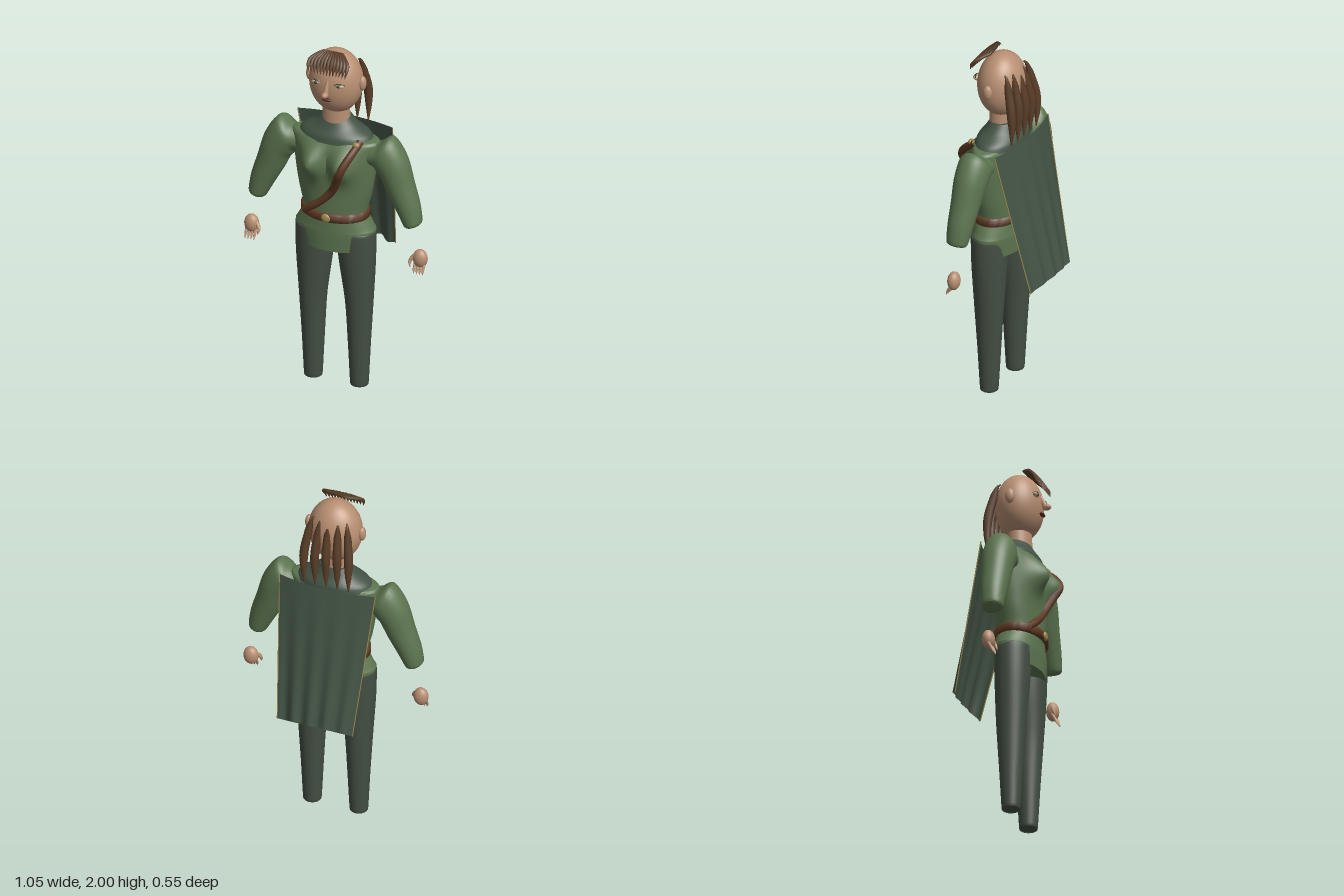
import * as THREE from 'three';
import { toCreasedNormals } from 'three/addons/utils/BufferGeometryUtils.js';

const V = (x, y, z) => new THREE.Vector3(x, y, z);
const mat = (name, color, side = THREE.FrontSide) => {
  const m = new THREE.MeshStandardMaterial({ color, side });
  m.name = name;
  return m;
};

// Skin through elliptical rings [x, y, z, tilt, rx, rz], closed at both ends
function loft(rings, sub = 1, sides = 36, bulge = null) {
  const smooth = (pts) => new THREE.CatmullRomCurve3(pts, false, 'catmullrom', 0.4);
  const centre = smooth(rings.map((r) => V(r[0], r[1], r[2])));
  const shape = smooth(rings.map((r) => V(r[3], r[4], r[5])));
  const n = (rings.length - 1) * sub, pos = [], idx = [];
  for (let i = 0; i <= n; i++) {
    const c = centre.getPoint(i / n), s = shape.getPoint(i / n);
    for (let j = 0; j < sides; j++) {
      const t = (j / sides) * Math.PI * 2, u = s.y * Math.cos(t);
      const p = V(c.x + u * Math.cos(s.x), c.y + u * Math.sin(s.x), c.z + s.z * Math.sin(t));
      if (bulge) bulge(p, Math.sin(t));
      pos.push(p.x, p.y, p.z);
      if (i < n) {
        const a = i * sides + j, b = i * sides + ((j + 1) % sides);
        idx.push(a, a + sides, b, b, a + sides, b + sides);
      }
    }
  }
  const e0 = pos.length / 3, top = n * sides;
  pos.push(...rings[0].slice(0, 3), ...rings[rings.length - 1].slice(0, 3));
  for (let j = 0; j < sides; j++) {
    const k = (j + 1) % sides;
    idx.push(e0, j, k, e0 + 1, top + k, top + j);
  }
  const g = new THREE.BufferGeometry();
  g.setAttribute('position', new THREE.Float32BufferAttribute(pos, 3));
  g.setIndex(idx);
  return toCreasedNormals(g, 0.8);
}

// Tube whose radius follows a list of values along its path
function taperTube(points, radii, seg = 16, sides = 8) {
  const curve = new THREE.CatmullRomCurve3(points.map((p) => V(...p)), false, 'centripetal');
  const g = new THREE.TubeGeometry(curve, seg, 1, sides, false);
  const pos = g.attributes.position, p = V();
  for (let i = 0; i <= seg; i++) {
    const c = curve.getPointAt(i / seg), f = (i / seg) * (radii.length - 1);
    const k = Math.min(Math.floor(f), radii.length - 2);
    const r = THREE.MathUtils.lerp(radii[k], radii[k + 1], f - k);
    for (let j = 0; j <= sides; j++) {
      const v = i * (sides + 1) + j;
      p.fromBufferAttribute(pos, v).sub(c).multiplyScalar(r).add(c);
      pos.setXYZ(v, p.x, p.y, p.z);
    }
  }
  return g;
}

export function createModel() {
  const skin = mat('skin', 0xb88f72), tunic = mat('tunic green', 0x5d7550);
  const cloak = mat('cloak green', 0x435344, THREE.DoubleSide), trousers = mat('trouser green', 0x444f43);
  const hair = mat('hair brown', 0x593d27), leather = mat('leather', 0x5f3a24);
  const brass = mat('brass', 0xa08c50), lips = mat('lips', 0x5c2c24);
  const eyeWhite = mat('eye', 0xb5aa8c), iris = mat('iris', 0x3d4a30);
  const model = new THREE.Group();
  const add = (name, geo, m) => {
    const mesh = new THREE.Mesh(geo, m);
    mesh.name = name;
    model.add(mesh);
    return mesh;
  };
  const ball = (name, m, c, r, w = 24) =>
    add(name, new THREE.SphereGeometry(1, w, Math.round(w * 0.7)).scale(...r).translate(...c), m);

  // Head and neck
  ball('head', skin, [0, 1.803, 0.065], [0.147, 0.183, 0.127], 40);
  add('neck', new THREE.CylinderGeometry(0.073, 0.078, 0.14, 28).scale(1, 1, 0.86).translate(0, 1.6, 0.065), skin);
  add('nose', taperTube([[0, 1.855, 0.18], [0, 1.81, 0.2], [0, 1.775, 0.215]], [0.008, 0.013, 0.016]), skin);
  ball('noseTip', skin, [0, 1.785, 0.218], [0.018, 0.017, 0.024], 16);
  ball('mouth', lips, [0, 1.745, 0.193], [0.028, 0.009, 0.012], 16);

  for (const s of [1, -1]) {
    const side = s > 0 ? 'left' : 'right';
    ball(side + 'Ear', skin, [s * 0.15, 1.812, 0.065], [0.021, 0.042, 0.026], 20);
    ball(side + 'Eye', eyeWhite, [s * 0.065, 1.835, 0.18], [0.028, 0.012, 0.014], 16);
    ball(side + 'Iris', iris, [s * 0.065, 1.835, 0.19], [0.01, 0.009, 0.007], 12);
    add(side + 'Eyelid', taperTube([[s * 0.037, 1.838, 0.187], [s * 0.065, 1.849, 0.187],
      [s * 0.094, 1.838, 0.172]], [0.002, 0.004, 0.002], 10, 6), hair);

    // Sleeve, listed from cuff to shoulder
    const d = Math.PI / 180;
    let arm = [
      [0.444, 1.028, 0.075, 15 * d, 0.042, 0.05], [0.442, 1.045, 0.075, 15 * d, 0.052, 0.06],
      [0.415, 1.13, 0.072, 20 * d, 0.067, 0.069], [0.37, 1.24, 0.068, 25 * d, 0.08, 0.078],
      [0.332, 1.345, 0.065, 38 * d, 0.093, 0.087], [0.278, 1.42, 0.063, 66 * d, 0.11, 0.09],
      [0.235, 1.41, 0.063, 74 * d, 0.075, 0.078], [0.19, 1.4, 0.063, 78 * d, 0.07, 0.07],
    ];
    if (s < 0) arm = arm.map(([x, y, z, a, rx, rz]) => [-x, y, z, Math.PI - a, rx, rz]).reverse();
    add(side + 'Sleeve', loft(arm, 5), tunic);

    // Hand with fingers and thumb
    ball(side + 'Palm', skin, [s * 0.483, 0.83, 0.07], [0.041, 0.053, 0.034], 20);
    for (let i = 0; i < 4; i++) {
      const x = s * (0.457 + i * 0.017);
      add(side + 'Finger', taperTube([[x, 0.805, 0.075], [x, 0.775, 0.092], [x, 0.755, 0.1], [x, 0.747, 0.101]],
        [0.009, 0.008, 0.007, 0.001], 10), skin);
    }
    add(side + 'Thumb', taperTube([[s * 0.452, 0.845, 0.078], [s * 0.433, 0.815, 0.09],
      [s * 0.436, 0.79, 0.1], [s * 0.438, 0.782, 0.101]], [0.01, 0.011, 0.008, 0.001], 10), skin);

    // Trouser leg
    add(side + 'Leg', loft([
      [s * 0.132, 0, 0.065, 0, 0.046, 0.046], [s * 0.132, 0.012, 0.065, 0, 0.05, 0.05],
      [s * 0.132, 0.25, 0.065, 0, 0.061, 0.064], [s * 0.132, 0.5, 0.066, 0, 0.075, 0.08],
      [s * 0.122, 0.75, 0.07, 0, 0.1, 0.094], [s * 0.115, 0.92, 0.072, 0, 0.109, 0.098],
      [s * 0.113, 0.935, 0.072, 0, 0.104, 0.093],
    ], 4), trousers);
  }

  // Torso with fuller chest
  const chest = (p, front) => {
    if (front > 0) p.z += 0.078 * Math.min(1, front * 2)
      * Math.exp(-(((Math.abs(p.x) - 0.09) / 0.062) ** 2) - ((p.y - 1.355) / 0.085) ** 2);
  };
  add('torso', loft([
    [0, 0.99, 0.07, 0, 0.178, 0.12], [0, 1.06, 0.07, 0, 0.18, 0.124], [0, 1.15, 0.07, 0, 0.202, 0.125],
    [0, 1.25, 0.07, 0, 0.219, 0.127], [0, 1.35, 0.068, 0, 0.232, 0.128], [0, 1.43, 0.066, 0, 0.243, 0.122],
    [0, 1.475, 0.064, 0, 0.246, 0.104], [0, 1.487, 0.064, 0, 0.2, 0.09],
  ], 6, 64, chest), tunic);

  // Tunic skirt
  add('skirt', loft([
    [0, 0.83, 0.067, 0, 0.2, 0.125], [0, 0.93, 0.067, 0, 0.224, 0.126],
    [0, 0.955, 0.067, 0, 0.215, 0.125], [0, 1.02, 0.068, 0, 0.18, 0.122],
  ], 4, 48), tunic);

  // Belt and buckle
  add('belt', loft([
    [0, 1.012, 0.073, 0, 0.186, 0.133], [0, 1.016, 0.073, 0, 0.19, 0.137],
    [0, 1.056, 0.073, 0, 0.19, 0.137], [0, 1.06, 0.073, 0, 0.186, 0.133],
  ], 1, 48), leather);
  ball('buckle', brass, [0, 1.036, 0.208], [0.026, 0.025, 0.012], 20);

  // Shoulder strap across the chest
  add('strap', taperTube([
    [0.166, 1.495, 0.13], [0.157, 1.475, 0.153], [0.13, 1.42, 0.215], [0.1, 1.355, 0.25], [0.068, 1.28, 0.222],
    [0.03, 1.2, 0.193], [-0.03, 1.13, 0.187], [-0.09, 1.08, 0.183], [-0.14, 1.04, 0.168],
  ], [0.02, 0.023, 0.023, 0.02], 48, 10), leather);
  ball('strapStud', brass, [0.155, 1.487, 0.162], [0.02, 0.016, 0.016], 14);

  // Cloak collar around the neck
  add('collar', loft([
    [0, 1.47, 0.06, 0, 0.212, 0.123], [0, 1.505, 0.058, 0, 0.19, 0.115],
    [0, 1.545, 0.055, 0, 0.122, 0.09], [0, 1.59, 0.052, 0, 0.078, 0.069],
  ], 4, 40), cloak);

  // Hanging cape, wavier towards the hem
  const capePoint = (u, v) => {
    const x = u * (0.272 - 0.062 * v);
    const out = 0.037 * (1 - u * u) + v * 0.017 * (0.5 - 0.5 * Math.cos((u + 1) * Math.PI * 4.5));
    return V(x, 1.51 - 0.82 * v + 0.8 * out * v, -0.052 - 0.168 * v - out);
  };
  const capeGeo = new THREE.PlaneGeometry(2, 1, 72, 20), cp = capeGeo.attributes.position;
  for (let i = 0; i < cp.count; i++) {
    const p = capePoint(cp.getX(i), 0.5 - cp.getY(i));
    cp.setXYZ(i, p.x, p.y, p.z);
  }
  capeGeo.computeVertexNormals();
  add('cape', capeGeo, cloak);
  for (const u of [-1, 1]) {
    const edge = [0, 0.33, 0.66, 1].map((v) => capePoint(u, v).toArray());
    add('capeTrim', taperTube(edge, [0.003, 0.003], 12, 6), brass);
  }

  // Fringe of fanned strands
  const strands = 13;
  for (let i = 0; i < strands; i++) {
    const t = (i / (strands - 1)) * 2 - 1;
    add('fringeStrand', taperTube([
      [t * 0.05, 1.99, 0.106], [t * 0.075, 1.985 - 0.006 * t * t, 0.13], [t * 0.107, 1.963 - 0.008 * t * t, 0.165],
      [t * 0.11, 1.93, 0.186], [t * 0.104, 1.893, 0.198],
    ], [0.007, 0.01, 0.011, 0.009, 0.001], 14, 7), hair);
  }

  // Long locks down the back
  for (let i = -2; i <= 2; i++) {
    const z = 0.006 * i * i;
    add('backLock', taperTube([
      [i * 0.046, 1.912, -0.018 + z * 0.4], [i * 0.05, 1.9, -0.03 + z * 0.4], [i * 0.057, 1.81, -0.055 + z * 0.4],
      [i * 0.063, 1.715, -0.075 + z * 0.4], [i * 0.0635, 1.62, -0.072], [i * 0.063, 1.515, -0.068],
    ], [0.004, 0.021, 0.024, 0.024, 0.016, 0.003], 24, 10), hair);
  }
  return model;
}
